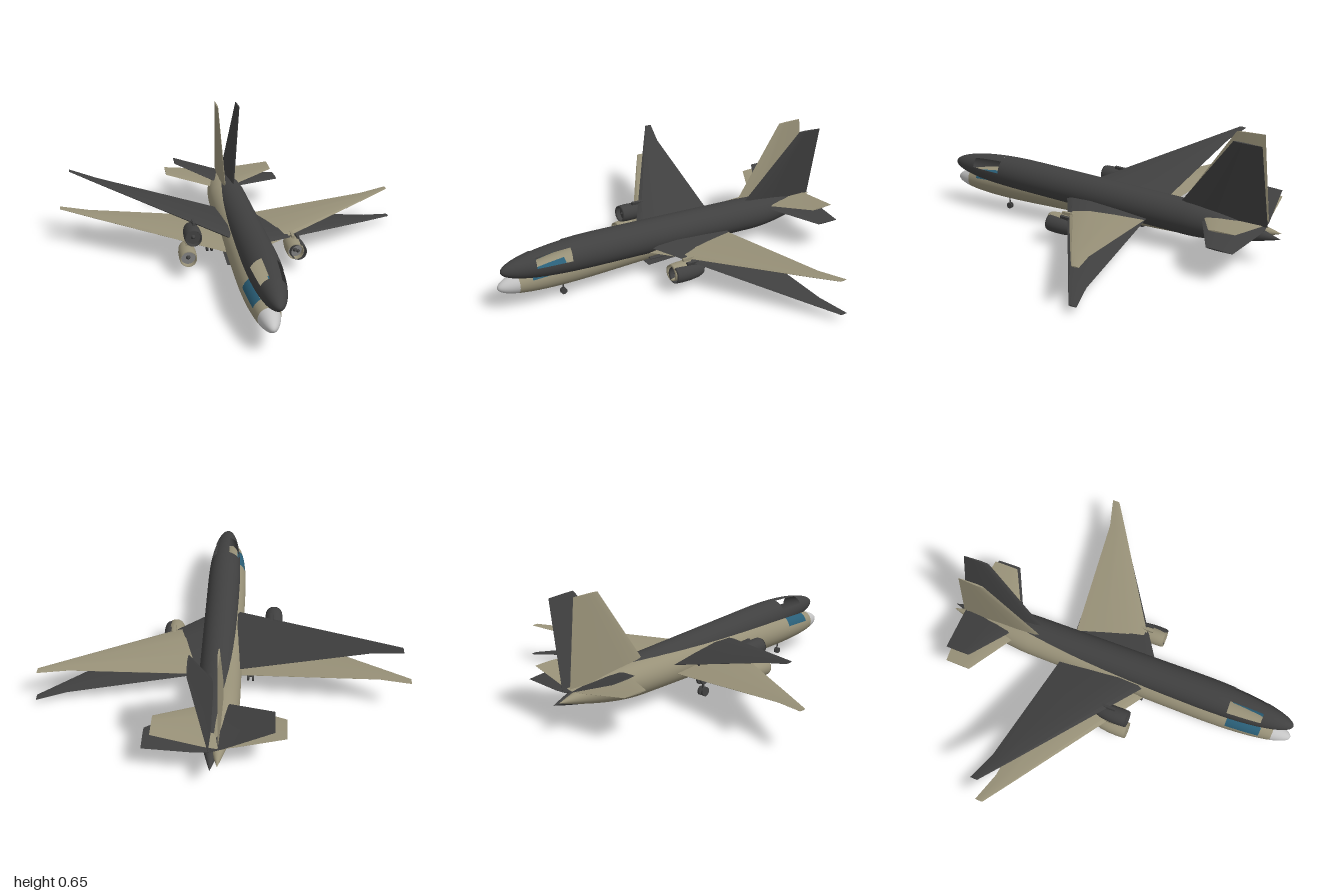
import * as THREE from 'three';
import { toCreasedNormals } from 'three/addons/utils/BufferGeometryUtils.js';

const mat = (name, color) => {
  const m = new THREE.MeshStandardMaterial({ color, side: THREE.DoubleSide });
  m.name = name;
  return m;
};

// Fuselage radius and centre height along z
const noseT = z => Math.max(0, (z - 0.45) / 0.55);
const tailT = z => Math.max(0, (-0.5 - z) / 0.485);
const radius = z => 0.091 * Math.sqrt(Math.max(0, 1 - noseT(z) ** 2.2)) * Math.max(0, 1 - tailT(z) ** 1.7);
const centreY = z => 0.161 - 0.016 * noseT(z) ** 2 + 0.004 * tailT(z);

// Patch of fuselage skin between two z values and two angles (degrees)
function skin(z0, z1, a0, a1, rows) {
  const cols = Math.max(4, Math.round((a1 - a0) / 8));
  const pos = [], nor = [], idx = [];
  for (let i = 0; i <= rows; i++) {
    const u = i / rows;
    const z = z0 + (z1 - z0) * (z1 === 1 ? Math.sin(u * Math.PI / 2) : u);
    const r = radius(z), slope = (radius(z + 0.0005) - radius(z - 0.0005)) / 0.001;
    for (let j = 0; j <= cols; j++) {
      const a = THREE.MathUtils.degToRad(a0 + (a1 - a0) * j / cols);
      pos.push(r * Math.cos(a), centreY(z) + r * Math.sin(a), z);
      const n = new THREE.Vector3(Math.cos(a), Math.sin(a), -slope).normalize();
      nor.push(n.x, n.y, n.z);
      if (i < rows && j < cols) {
        const p = i * (cols + 1) + j, q = p + cols + 1;
        idx.push(p, p + 1, q, p + 1, q + 1, q);
      }
    }
  }
  const g = new THREE.BufferGeometry();
  g.setAttribute('position', new THREE.Float32BufferAttribute(pos, 3));
  g.setAttribute('normal', new THREE.Float32BufferAttribute(nor, 3));
  g.setIndex(idx);
  return g;
}

// Closed airfoil loft; stations are [span, leading z, trailing z, offset, thickness]
const FOIL = [[0, 0], [0.06, 0.6], [0.3, 1], [0.65, 0.65], [1, 0.04], [1, -0.04], [0.65, -0.65], [0.3, -1], [0.06, -0.6]];
function surface(stations, place, flip) {
  const pos = [], idx = [], n = FOIL.length;
  const tri = (a, b, c) => (flip ? idx.push(a, c, b) : idx.push(a, b, c));
  stations.forEach(([s, le, te, off, t], i) => {
    FOIL.forEach(([c, h], j) => {
      pos.push(...place(s, off + h * t / 2, le + (te - le) * c));
      if (i) {
        const k = (j + 1) % n, a = (i - 1) * n, b = i * n;
        tri(a + j, a + k, b + j);
        tri(a + k, b + k, b + j);
      }
    });
  });
  const last = (stations.length - 1) * n;
  for (let j = 1; j < n - 1; j++) {
    tri(0, j + 1, j);
    tri(last, last + j, last + j + 1);
  }
  const g = new THREE.BufferGeometry();
  g.setAttribute('position', new THREE.Float32BufferAttribute(pos, 3));
  g.setIndex(idx);
  return toCreasedNormals(g, 0.5);
}

const WING = [[0, 0.243, -0.285, 0.14, 0.045], [0.09, 0.185, -0.295, 0.147, 0.042],
  [0.79, -0.268, -0.366, 0.202, 0.012], [0.945, -0.37, -0.41, 0.215, 0.006]];
const STABILISER = [[0, -0.56, -0.905, 0.2, 0.02], [0.07, -0.6, -0.9, 0.207, 0.018], [0.319, -0.735, -0.87, 0.243, 0.007]];
const FIN = [[0.215, -0.43, -0.917, 0, 0.026], [0.65, -0.73, -0.876, 0, 0.01]];

function airframe(name, body, nose, fan, gear, glass) {
  const g = new THREE.Group();
  g.name = name;
  const add = (part, geo, m, x = 0, y = 0, z = 0) => {
    const mesh = new THREE.Mesh(geo, m);
    mesh.name = part;
    mesh.position.set(x, y, z);
    g.add(mesh);
    return mesh;
  };

  // Fuselage, with openings left for the cockpit windows
  add('noseCone', skin(0.9, 1, 0, 360, 12), nose);
  add('fuselageFront', skin(0.835, 0.9, 0, 360, 5), body);
  add('cockpitRoof', skin(0.65, 0.835, 64, 116, 8), body);
  add('cockpitLower', skin(0.65, 0.835, 164, 376, 8), body);
  add('fuselage', skin(-0.5, 0.65, 0, 360, 16), body);
  add('tailCone', skin(-0.985, -0.5, 0, 360, 16), body);
  if (glass) {
    add('leftCockpitWindow', skin(0.65, 0.835, 16, 64, 8), glass);
    add('rightCockpitWindow', skin(0.65, 0.835, 116, 164, 8), glass);
  }

  add('tailFin', surface(FIN, (s, h, z) => [h, s, z], true), body);

  const nacelle = new THREE.LatheGeometry([[0.03, 0], [0.04, 0.03], [0.046, 0.08], [0.047, 0.13], [0.045, 0.165],
    [0.042, 0.174], [0.039, 0.165], [0.037, 0.12]].map(p => new THREE.Vector2(...p)), 28);
  nacelle.rotateX(Math.PI / 2);
  const wheel = (r, w) => new THREE.CylinderGeometry(r, r, w, 20).rotateZ(Math.PI / 2);

  for (const s of [1, -1]) {
    const side = s > 0 ? 'left' : 'right';
    const place = (x, h, z) => [s * x, h, z];
    add(side + 'Wing', surface(WING, place, s < 0), body);
    add(side + 'Stabiliser', surface(STABILISER, place, s < 0), body);

    // Engine under the wing
    const ex = s * 0.285, ey = 0.113;
    add(side + 'Nacelle', nacelle, body, ex, ey, 0);
    add(side + 'Fan', new THREE.CircleGeometry(0.039, 28), fan, ex, ey, 0.145);
    add(side + 'Spinner', new THREE.ConeGeometry(0.012, 0.022, 16).rotateX(Math.PI / 2), gear, ex, ey, 0.156);
    add(side + 'Exhaust', new THREE.ConeGeometry(0.03, 0.03, 20).rotateX(-Math.PI / 2), gear, ex, ey, -0.01);
    add(side + 'Pylon', new THREE.BoxGeometry(0.014, 0.03, 0.11), body, ex, 0.158, 0.045);

    // Main landing gear and belly door
    add(side + 'MainLeg', new THREE.CylinderGeometry(0.006, 0.006, 0.12, 12), gear, s * 0.137, 0.085, -0.15);
    add(side + 'MainAxle', wheel(0.005, 0.034), gear, s * 0.137, 0.025, -0.15);
    for (const k of [-1, 1]) {
      add(side + 'MainWheel', wheel(0.025, 0.011), gear, s * 0.137 + k * 0.0125, 0.025, -0.15);
    }
    add(side + 'GearDoor', new THREE.BoxGeometry(0.072, 0.004, 0.3), gear, s * 0.047, 0.07, 0.03);
  }

  // Nose landing gear
  add('noseLeg', new THREE.CylinderGeometry(0.004, 0.004, 0.08, 12), gear, 0, 0.06, 0.645);
  for (const k of [-1, 1]) add('noseWheel', wheel(0.017, 0.007), gear, k * 0.007, 0.021, 0.645);
  return g;
}

export function createModel() {
  const beige = mat('beige paint', 0x989178);
  const dark = mat('charcoal', 0x404040);
  const grey = mat('light grey', 0xc4c4c4);
  const metal = mat('fan metal', 0x808080);
  const glass = mat('blue glass', 0x2a5f78);

  const model = new THREE.Group();
  model.name = 'aircraft';
  const lower = airframe('paintedAirframe', beige, grey, metal, dark, glass);
  lower.position.set(-0.015, 0, 0);

  // Second airframe shell, rolled and pitched over the first
  const upper = airframe('darkAirframe', dark, dark, dark, dark, null);
  upper.rotation.set(-0.06, 0, -0.207);
  upper.position.set(-0.015, 0.045, 0);

  model.add(lower, upper);
  return model;
}
